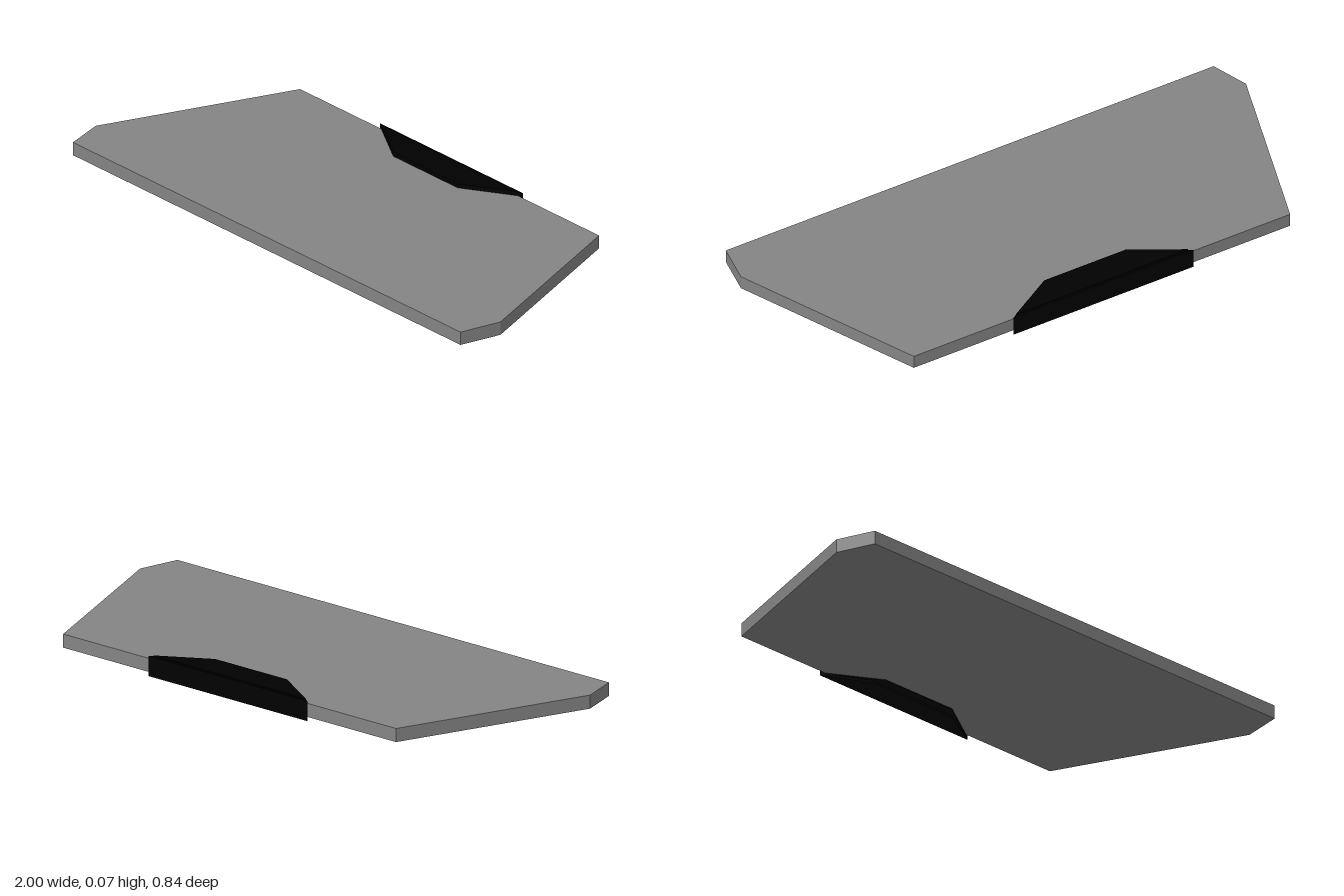
import * as THREE from 'three';

const grey = new THREE.MeshStandardMaterial({ color: 0x848484, flatShading: true });
const black = new THREE.MeshStandardMaterial({ color: 0x000000, flatShading: true });

// Flat slab from an [x, z] outline, spanning y0 to y1
function slab(name, outline, y0, y1, material) {
  const shape = new THREE.Shape(outline.map(([x, z]) => new THREE.Vector2(x, -z)));
  const geometry = new THREE.ExtrudeGeometry(shape, { depth: y1 - y0, bevelEnabled: false });
  geometry.rotateX(-Math.PI / 2).translate(0, y0, 0);
  const mesh = new THREE.Mesh(geometry, material);
  mesh.name = name;
  return mesh;
}

// Symmetric trapezoid, wide at the back and narrow at the front
const flap = (backX, frontX, backZ, frontZ) =>
  [[-backX, backZ], [-frontX, frontZ], [frontX, frontZ], [backX, backZ]];

export function createModel() {
  const model = new THREE.Group();
  model.name = 'plateWithClip';

  // Tapered plate with clipped front corners
  model.add(slab('plate', [
    [-0.743, -0.411], [-1, 0.28], [-0.96, 0.42],
    [0.966, 0.42], [1, 0.27], [0.743, -0.411],
  ], 0.011, 0.059, grey));

  // Clip folded around the back edge
  const clip = new THREE.Group();
  clip.name = 'clip';
  clip.add(
    slab('topFlap', flap(0.34, 0.16, -0.411, -0.302), 0.059, 0.074, black),
    slab('bottomLip', flap(0.34, 0.16, -0.411, -0.302), 0.008, 0.011, black),
    slab('bottomFlap', flap(0.34, 0.19, -0.411, -0.333), 0, 0.008, black),
    slab('backStrip', flap(0.355, 0.34, -0.42, -0.411), 0, 0.071, black),
  );
  model.add(clip);
  return model;
}
